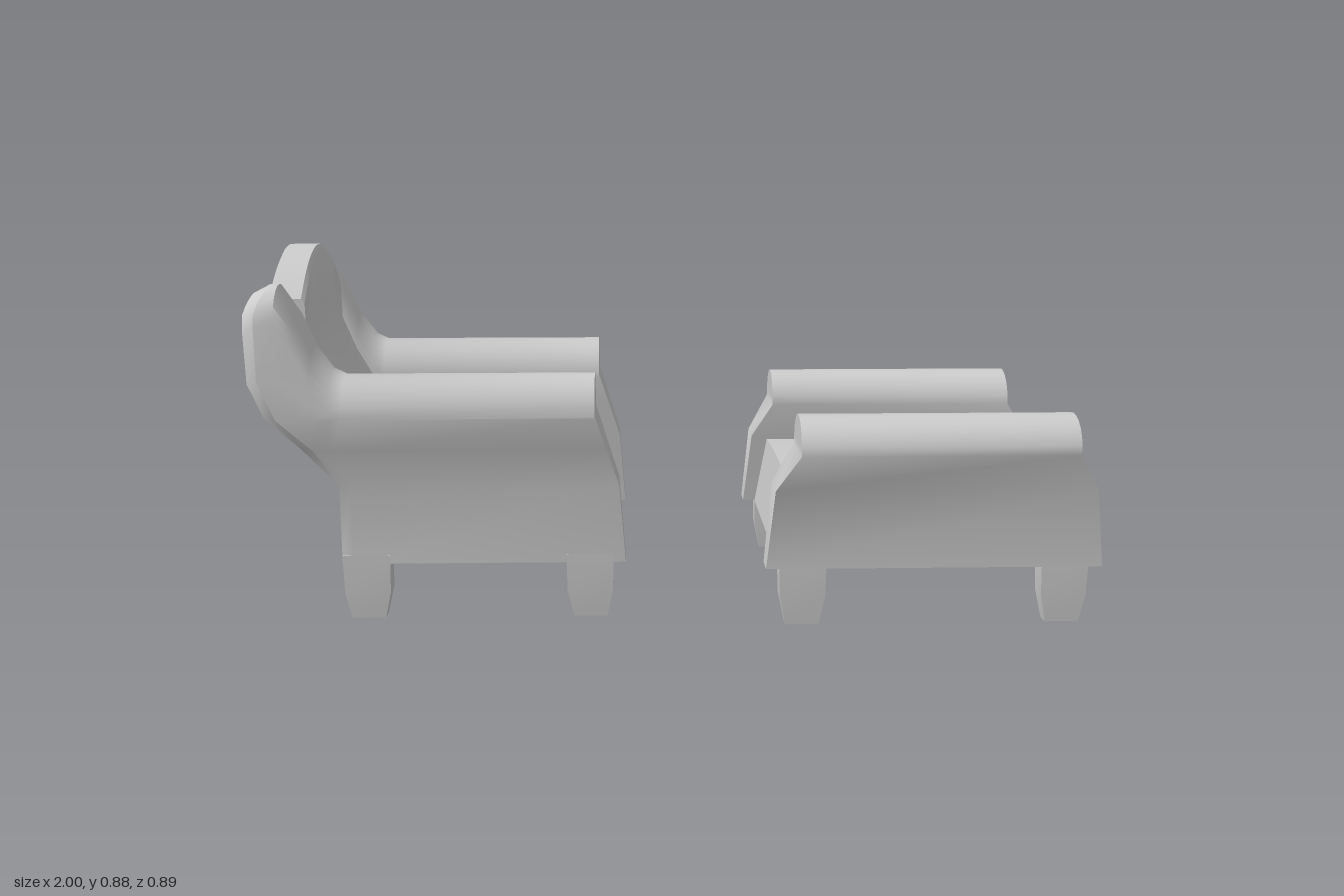
import * as THREE from 'three';
import { toCreasedNormals } from 'three/addons/utils/BufferGeometryUtils.js';

const material = new THREE.MeshStandardMaterial({ color: 0xcccccc });

// Skins a row of equal rings of [x, y, z]; the ends are closed with strips between point j and its partner N-1-j.
function loft(name, rings, crease = 0.6) {
  const n = rings[0].length, last = rings.length - 1;
  const tris = [];
  const quad = (a, b, c, d) => tris.push([a, b, c], [a, c, d]);
  for (let k = 0; k < last; k++) {
    for (let j = 0; j < n; j++) {
      const i = (j + 1) % n;
      quad(rings[k][j], rings[k][i], rings[k + 1][i], rings[k + 1][j]);
    }
  }
  for (let j = 0; j < Math.floor(n / 2); j++) {
    const a = rings[0], b = rings[last];
    quad(a[j], a[n - 1 - j], a[n - 2 - j], a[j + 1]);
    quad(b[j], b[j + 1], b[n - 2 - j], b[n - 1 - j]);
  }
  // Turn the faces outward using the signed volume
  let volume = 0;
  for (const [a, b, c] of tris) {
    volume += a[0] * (b[1] * c[2] - b[2] * c[1]) + a[1] * (b[2] * c[0] - b[0] * c[2])
      + a[2] * (b[0] * c[1] - b[1] * c[0]);
  }
  if (volume < 0) tris.forEach((t) => t.reverse());
  const geometry = new THREE.BufferGeometry();
  geometry.setAttribute('position', new THREE.Float32BufferAttribute(tris.flat(2), 3));
  const mesh = new THREE.Mesh(toCreasedNormals(geometry, crease), material);
  mesh.name = name;
  return mesh;
}

// Linear lookup in a table of [key, value]
function lookup(table, key) {
  if (key <= table[0][0]) return table[0][1];
  for (let i = 1; i < table.length; i++) {
    const [k0, v0] = table[i - 1], [k1, v1] = table[i];
    if (key <= k1) return v0 + (v1 - v0) * (key - k0) / (k1 - k0);
  }
  return table[table.length - 1][1];
}

// Rolled arm: rows are [y, outer z, inner z, share of lift]; the last row carries the dome
function arm(name, side, { rows, dome, back, front, stations }) {
  const [domeY, outer, inner] = rows[rows.length - 1];
  const mid = (outer + inner) / 2, half = (outer - inner) / 2;
  const section = rows.map(([y, o, , w]) => [y, o, w]);
  for (let i = 1; i < 12; i++) {
    const a = Math.PI * i / 12;
    section.push([domeY + dome * Math.sin(a), mid + half * Math.cos(a), 1]);
  }
  for (const [y, , i, w] of [...rows].reverse()) section.push([y, i, w]);
  const rings = stations.map(({ at, lift = 0, inset = 0, offset = 0 }) => section.map(([y0, z0, w]) => {
    const y = y0 + w * lift;
    const z = mid + (z0 - mid) * (1 - inset / half);
    let x = at;
    if (at === 'back') x = lookup(back, y) + offset;
    else if (at === 'front') x = lookup(front, y);
    else x = Math.max(at, lookup(back, y) + 0.03);
    return [x, y, z * side];
  }));
  return loft(name, rings);
}

// Seat block with a crowned top: x ranges are [back, front]
function seat(name, bottomY, edgeY, crown, halfWidth, bottomX, topX) {
  const rings = [];
  for (let i = 0; i <= 16; i++) {
    const t = i / 8 - 1;
    const top = edgeY + crown * (1 - t * t), z = t * halfWidth;
    rings.push([[bottomX[0], bottomY, z], [topX[0], top, z], [topX[1], top, z], [bottomX[1], bottomY, z]]);
  }
  return loft(name, rings, 0.4);
}

// Square tapered foot, straight at the top
function foot(name, x, z, bottomY, topY) {
  const levels = [[bottomY, 0.04, 0.02], [topY - 0.07, 0.054, 0.028], [topY + 0.02, 0.056, 0.032]];
  return loft(name, levels.map(([y, hx, hz]) =>
    [[x - hx, y, z - hz], [x - hx, y, z + hz], [x + hx, y, z + hz], [x + hx, y, z - hz]]), 0.3);
}

// Arched, reclined backrest: rows are [y, back x, front x]
function backrest() {
  const rows = [[0.15, -0.8, -0.7], [0.34, -0.8, -0.71], [0.43, -0.875, -0.765], [0.52, -0.94, -0.81],
    [0.62, -0.965, -0.85], [0.74, -0.972, -0.885], [0.865, -0.972, -0.887], [0.88, -0.965, -0.895]];
  const profile = [...rows.map(([y, b]) => [b, y]), ...rows.map(([y, , f]) => [f, y]).reverse()];
  const rings = [];
  for (let i = 0; i <= 20; i++) {
    const t = i / 10 - 1;
    const scale = 1 - 0.3 * t * t;
    rings.push(profile.map(([x, y]) => [
      x,
      y > 0.5 ? 0.5 + (y - 0.5) * scale : y,
      t * (0.243 + Math.max(0, 0.5 - y) * 0.17),
    ]));
  }
  return loft('backrest', rings);
}

export function createModel() {
  const model = new THREE.Group();
  model.name = 'armchairAndFootstool';

  // Armchair, facing +x
  const chair = new THREE.Group();
  chair.name = 'armchair';
  chair.position.z = -0.0165;
  const chairArm = {
    rows: [[0.15, 0.362, 0.292, 0], [0.34, 0.375, 0.268, 0], [0.43, 0.4, 0.253, 0],
      [0.505, 0.42, 0.242, 0], [0.51, 0.42, 0.242, 0.4], [0.51, 0.42, 0.242, 1]],
    dome: 0.09,
    back: [[0.15, -0.8], [0.35, -0.8], [0.43, -0.88], [0.52, -0.975], [0.6, -1], [0.75, -1], [0.81, -0.975]],
    front: [[0.15, -0.13], [0.34, -0.145], [0.51, -0.2]],
    stations: [
      { at: 'back', lift: 0.19, inset: 0.025 }, { at: 'back', lift: 0.21, offset: 0.03 },
      { at: -0.925, lift: 0.21 }, { at: -0.885, lift: 0.15 }, { at: -0.85, lift: 0.07 },
      { at: -0.81, lift: 0.015 }, { at: -0.78 }, { at: 'front' },
    ],
  };
  chair.add(backrest(), seat('chairSeat', 0.15, 0.325, 0.038, 0.29, [-0.8, -0.155], [-0.75, -0.18]));

  // Footstool
  const stool = new THREE.Group();
  stool.name = 'footstool';
  stool.position.z = -0.005;
  const stoolArm = {
    rows: [[0.14, 0.392, 0.325, 0], [0.33, 0.403, 0.293, 0], [0.42, 0.446, 0.272, 0]],
    dome: 0.085,
    back: [[0.14, 0.2], [0.33, 0.22], [0.42, 0.275]],
    front: [[0.14, 1], [0.33, 0.98], [0.42, 0.925]],
    stations: [{ at: 'back' }, { at: 'front' }],
  };
  stool.add(seat('stoolSeat', 0.14, 0.317, 0.013, 0.33, [0.232, 0.968], [0.262, 0.938]));

  // Mirrored arms and feet
  for (const [side, label] of [[1, 'right'], [-1, 'left']]) {
    chair.add(arm(label + 'WingArm', side, chairArm));
    stool.add(arm(label + 'StoolArm', side, stoolArm));
    for (const x of [-0.742, -0.215]) chair.add(foot('chairFoot', x, side * 0.332, 0.015, 0.15));
    for (const x of [0.288, 0.912]) stool.add(foot('stoolFoot', x, side * 0.358, 0, 0.14));
  }
  model.add(chair, stool);
  return model;
}
